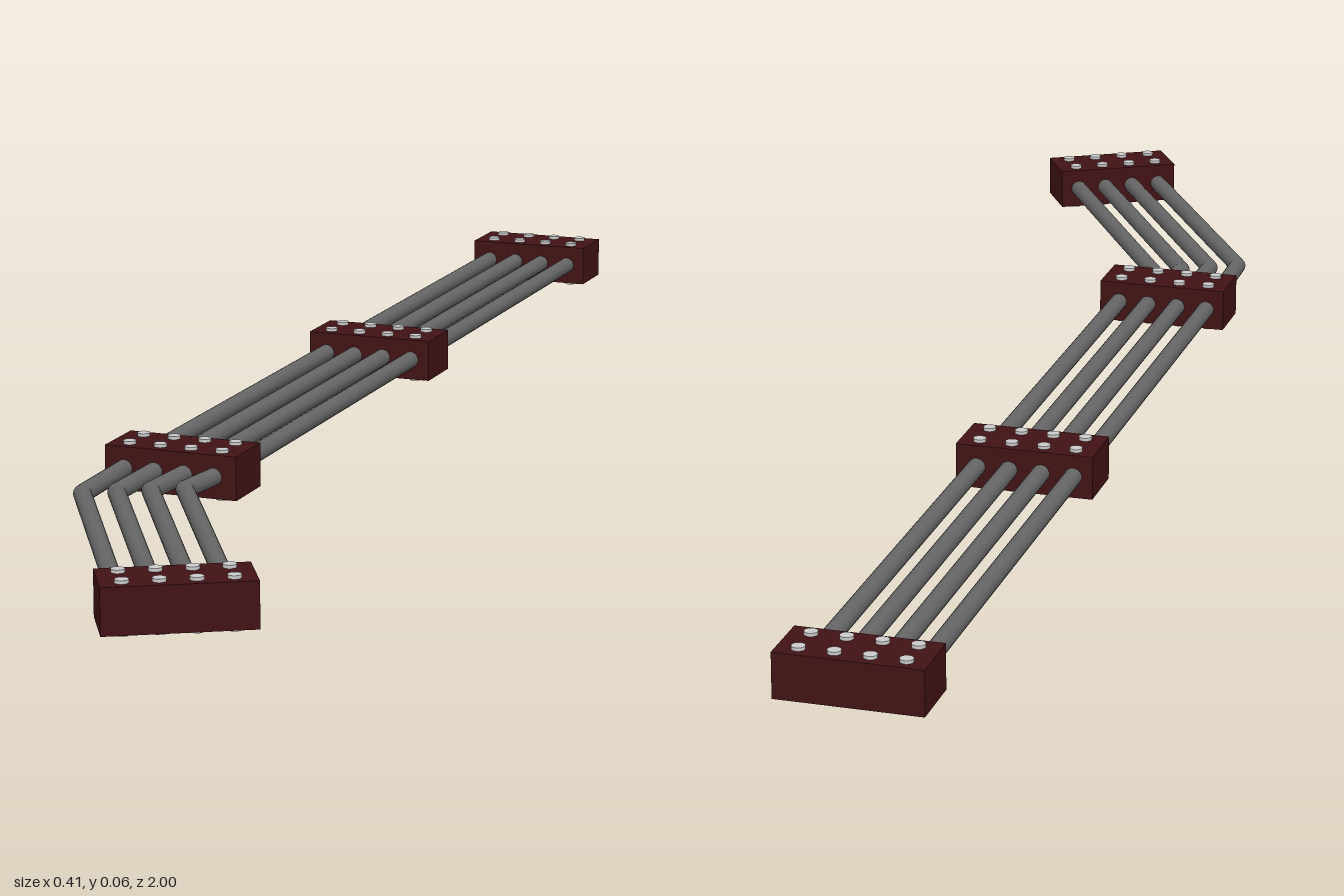
import * as THREE from 'three';

const MID_Y = 0.0315;
const ROD_X = -0.118;
const SPREAD = [-0.0615, -0.0205, 0.0205, 0.0615];
const ROD_R = 0.0112;
const TILT = Math.PI / 6;

const clampMat = new THREE.MeshStandardMaterial({ color: 0x421316 });
const rodMat = new THREE.MeshStandardMaterial({ color: 0x666666 });
const boltMat = new THREE.MeshStandardMaterial({ color: 0xcccccc });

// Clamp block with two rows of four through bolts
function makeClamp(name, x, z, angle) {
  const clamp = new THREE.Group();
  clamp.name = name;
  const block = new THREE.Mesh(new THREE.BoxGeometry(0.174, 0.055, 0.077), clampMat);
  block.name = 'clampBlock';
  clamp.add(block);
  const boltGeo = new THREE.CylinderGeometry(0.008, 0.008, 2 * MID_Y, 16);
  for (const bx of SPREAD) {
    for (const bz of [-0.021, 0.021]) {
      const bolt = new THREE.Mesh(boltGeo, boltMat);
      bolt.name = 'bolt';
      bolt.position.set(bx, 0, bz);
      clamp.add(bolt);
    }
  }
  clamp.position.set(x, MID_Y, z);
  clamp.rotation.y = angle;
  return clamp;
}

// Pipe along a list of points, with a rounded joint at each inner point
function makePipe(points) {
  const pipe = new THREE.Group();
  pipe.name = 'pipe';
  const up = new THREE.Vector3(0, 1, 0);
  for (let i = 0; i < points.length - 1; i++) {
    const dir = points[i + 1].clone().sub(points[i]);
    const part = new THREE.Mesh(new THREE.CylinderGeometry(ROD_R, ROD_R, dir.length(), 20), rodMat);
    part.name = 'pipeSection';
    part.position.copy(points[i]).addScaledVector(dir, 0.5);
    part.quaternion.setFromUnitVectors(up, dir.normalize());
    pipe.add(part);
    if (i > 0) {
      const joint = new THREE.Mesh(new THREE.SphereGeometry(ROD_R, 20, 12), rodMat);
      joint.name = 'pipeElbow';
      joint.position.copy(points[i]);
      pipe.add(joint);
    }
  }
  return pipe;
}

export function createModel() {
  const model = new THREE.Group();
  model.name = 'pipeRun';

  // Three clamps on the straight run, one turned at the bent end
  model.add(makeClamp('backClamp', ROD_X + 0.001, -0.9615, 0));
  model.add(makeClamp('middleClamp', ROD_X + 0.001, -0.285, 0));
  model.add(makeClamp('bendClamp', ROD_X + 0.001, 0.39, 0));
  model.add(makeClamp('frontClamp', 0.1075, 0.923, TILT));

  // Four parallel pipes, each with its elbow on the tilted row
  const c = Math.cos(TILT), s = Math.sin(TILT);
  for (const d of SPREAD) {
    const end = new THREE.Vector3(0.1075 + d * c, MID_Y, 0.923 - d * s);
    const elbow = new THREE.Vector3(end.x - 0.46 * s, MID_Y, end.z - 0.46 * c);
    model.add(makePipe([
      new THREE.Vector3(ROD_X + d, MID_Y, -0.96),
      new THREE.Vector3(ROD_X + d, MID_Y, 0.4),
      elbow,
      end,
    ]));
  }
  return model;
}
